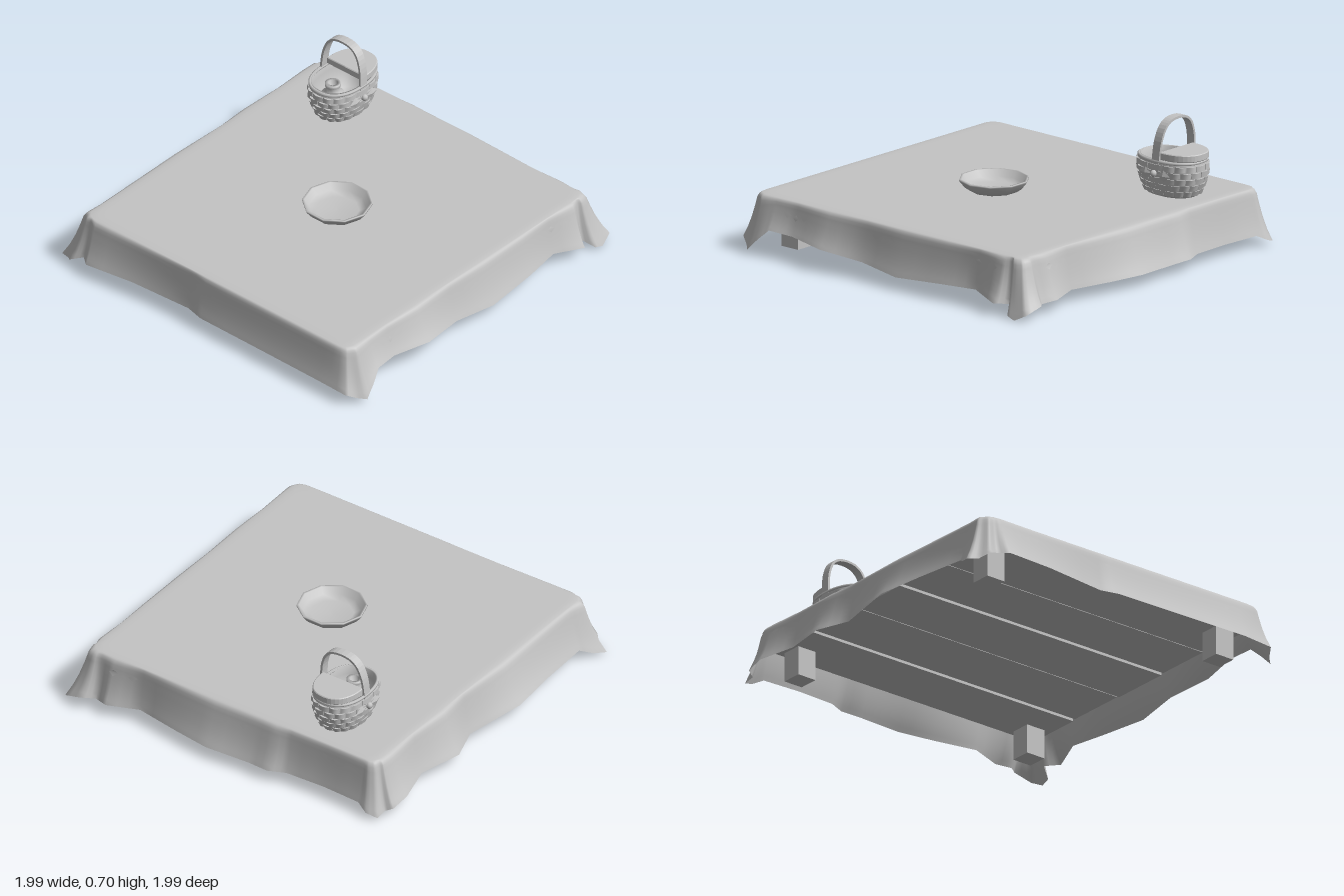
import * as THREE from 'three';
import { mergeGeometries } from 'three/addons/utils/BufferGeometryUtils.js';

const grey = new THREE.MeshStandardMaterial({ color: 0xc4c4c4, side: THREE.DoubleSide });
grey.name = 'plain grey';

function add(parent, name, geometry, x = 0, y = 0, z = 0) {
  const mesh = new THREE.Mesh(geometry, grey);
  mesh.name = name;
  mesh.position.set(x, y, z);
  parent.add(mesh);
  return mesh;
}

function surface(points, indices) {
  const g = new THREE.BufferGeometry().setFromPoints(points);
  g.setIndex(indices);
  g.computeVertexNormals();
  return g;
}

// Hem of the cloth as x, z, y: front, right, back, left
const hem = [
  [-.97, .92, .07], [-.92, .95, .04], [-.88, .99, .03], [-.82, .98, .09], [-.76, .96, .145], [-.62, .94, .135],
  [-.4, .98, .12], [-.15, .94, .095], [.1, .965, .07], [.4, .95, .09], [.6, .92, .095], [.77, .98, .07],
  [.82, .91, .06], [.86, .97, .02], [.91, .975, .005], [.98, .96, .04], [.99, .86, .07],
  [.94, .8, .06], [.97, .72, .07], [.91, .55, .075], [.95, .3, .07], [.98, .1, .07], [.96, -.15, .065],
  [.97, -.27, .07], [.93, -.36, .07], [.92, -.58, .07], [.93, -.8, .07],
  [.95, -.86, .04], [.93, -.92, .02], [.87, -.92, .03], [.85, -.96, .05], [.75, -.97, .07],
  [.55, -.92, .08], [.3, -.97, .07], [.12, -.91, .07], [-.22, -.975, .08], [-.5, -.95, .08], [-.79, -.93, .07],
  [-.86, -.97, .03], [-.93, -1, .01], [-.95, -.94, .02], [-.99, -.9, .05], [-.96, -.83, .08],
  [-1, -.78, .08], [-.97, -.5, .09], [-.94, -.15, .08], [-.965, -.05, .08], [-.97, .4, .08], [-.975, .75, .08]
].map(([x, z, y]) => new THREE.Vector3(x, y, z));
const box = new THREE.Box3(new THREE.Vector3(-.85, 0, -.8), new THREE.Vector3(.81, 1, .82));
const TOP = .3, R = .06;

// Hang of the cloth: outward and downward share of each ring
const hang = [[0, 0], [.16, .03], [.27, .11], [.38, .3], [.55, .55], [.75, .78], [1, 1]];

// Point on the skirt above or on a hem point
function skirtPoint(h, v) {
  const inner = box.clampPoint(h, new THREE.Vector3());
  const edge = h.clone().sub(inner).setY(0).setLength(R).add(inner).setY(TOP);
  const k = Math.min(Math.floor(v * 6), 5), f = v * 6 - k;
  const out = THREE.MathUtils.lerp(hang[k][0], hang[k + 1][0], f);
  const down = THREE.MathUtils.lerp(hang[k][1], hang[k + 1][1], f);
  return new THREE.Vector3(edge.x + (h.x - edge.x) * out, TOP + (h.y - TOP) * down, edge.z + (h.z - edge.z) * out);
}

function hemAt(s) {
  const n = hem.length, i = Math.floor(s);
  return hem[i % n].clone().lerp(hem[(i + 1) % n], s - i);
}

function clothGeometry() {
  const n = hem.length * 3, points = [], index = [];
  for (let j = -2; j <= 12; j++) {
    for (let i = 0; i < n; i++) {
      const p = skirtPoint(hemAt(i / 3), Math.max(j, 0) / 12);
      if (j < 0) p.multiply(new THREE.Vector3(1 + j * .03, 1, 1 + j * .03)).setY(TOP + .002);
      points.push(p);
    }
  }
  for (let j = 0; j < 14; j++) for (let i = 0; i < n; i++) {
    const a = j * n + i, b = j * n + (i + 1) % n, c = a + n, d = b + n;
    index.push(a, c, d, a, d, b);
  }
  const centre = points.push(new THREE.Vector3(0, TOP + .003, 0)) - 1;
  for (let i = 0; i < n; i++) index.push(centre, i, (i + 1) % n);
  return surface(points, index);
}

// Three thin diamonds stitched along the skirt at a place on one side
function motif(axis, side, at) {
  const other = axis === 'x' ? 'z' : 'x', shapes = [];
  const place = (t, y) => {
    // Find the hem crossing on this side, then the height on the skirt
    let h = null;
    for (let i = 0; i < hem.length && !h; i++) {
      const a = hem[i], b = hem[(i + 1) % hem.length];
      if (a[other] * side > .8 && b[other] * side > .8 && (a[axis] - t) * (b[axis] - t) <= 0)
        h = a.clone().lerp(b, (t - a[axis]) / (b[axis] - a[axis] || 1));
    }
    let p = skirtPoint(h, 0);
    for (let v = 0; v <= 1 && p.y > y; v += .01) p = skirtPoint(h, v);
    p[other] += side * .004;
    return p;
  };
  for (const k of [-1, 0, 1]) {
    const c = at + k * .055, w = k ? .026 : .017, y = .225 + Math.abs(k) * .01;
    const q = [[c - w, y + Math.abs(k) * .006], [c, y - .016], [c + w, y], [c, y + .016]].map(p => place(...p));
    const flip = (axis === 'x') === (side > 0);
    shapes.push(surface(q, flip ? [0, 1, 2, 0, 2, 3] : [0, 2, 1, 0, 3, 2]));
  }
  return mergeGeometries(shapes);
}

// Rounded-oval outline of the basket
const oval = (a, r, y) => {
  const c = Math.cos(a), s = Math.sin(a);
  return new THREE.Vector3(Math.sign(c) * Math.abs(c) ** .85 * .19 * r, y, Math.sign(s) * Math.abs(s) ** .85 * .135 * r);
};
const bulge = y => .76 + .24 * Math.sin(Math.min(y / .15, 1) * Math.PI / 2);

function createBasket() {
  const basket = new THREE.Group();
  basket.name = 'basket';
  const n = 40;
  const profile = [[0, 0], [.74, 0], [.86, .035], [.95, .08], [1, .15], [.99, .19], [.92, .195], [.9, .15], [.74, .03], [0, .03]];
  const points = [], index = [];
  profile.forEach(([r, y]) => {
    for (let i = 0; i < n; i++) points.push(oval(-i / n * Math.PI * 2, r, y));
  });
  for (let j = 0; j < profile.length - 1; j++) for (let i = 0; i < n; i++) {
    const a = j * n + i, b = j * n + (i + 1) % n;
    index.push(a, a + n, b + n, a, b + n, b);
  }
  add(basket, 'basketBody', surface(points, index));

  // Staggered woven slats that bulge from the wall
  const slats = [];
  for (let row = 0; row < 5; row++) for (let i = 0; i < 16; i++) {
    const g = new THREE.BoxGeometry(1, 1, 1, 4, 1, 1), p = g.attributes.position;
    for (let k = 0; k < p.count; k++) {
      const u = p.getX(k), y = .022 + row * .034 + p.getY(k) * .028;
      const a = -(i + (row % 2) / 2 + u * .92) / 16 * Math.PI * 2;
      const r = bulge(y) + (p.getZ(k) > 0 ? .012 + .045 * Math.cos(u * Math.PI) : -.03);
      const q = oval(a, r, y);
      p.setXYZ(k, q.x, q.y, q.z);
    }
    g.computeVertexNormals();
    slats.push(g);
  }
  add(basket, 'wovenSlats', mergeGeometries(slats));

  // Rim band
  const rim = new THREE.CatmullRomCurve3(Array.from({ length: 32 }, (_, i) => oval(-i / 32 * Math.PI * 2, .97, .187)), true);
  add(basket, 'rim', new THREE.TubeGeometry(rim, 64, .009, 6, true));

  // Half lid on the left of the basket
  const lid = new THREE.Shape(Array.from({ length: 21 }, (_, i) => {
    const q = oval((i / 20 - .5) * Math.PI, .9, 0);
    return new THREE.Vector2(q.x + .024, q.z);
  }));
  const lidShape = new THREE.ExtrudeGeometry(lid, { depth: .03, bevelEnabled: true, bevelSize: .004, bevelThickness: .004, bevelSegments: 1 });
  add(basket, 'lid', lidShape.rotateX(-Math.PI / 2), 0, .2, 0);

  // Flat arched handle
  const arch = new THREE.CatmullRomCurve3([[-.133, .13], [-.13, .2], [-.12, .29], [-.09, .36], [-.045, .39], [.045, .39],
    [.09, .36], [.12, .29], [.13, .2], [.133, .13]].map(([z, y]) => new THREE.Vector3(0, y, z)));
  const hp = [], hi = [], steps = 32;
  for (let i = 0; i <= steps; i++) {
    const p = arch.getPoint(i / steps), t = arch.getTangent(i / steps);
    for (const [w, d] of [[-1, 1], [1, 1], [1, -1], [-1, -1]])
      hp.push(new THREE.Vector3(w * .024 + (p.y - .13) * .07, p.y + t.z * d * .006, p.z - t.y * d * .006));
    if (i < steps) for (let k = 0; k < 4; k++) {
      const a = i * 4 + k, b = i * 4 + (k + 1) % 4;
      hi.push(a, a + 4, b + 4, a, b + 4, b);
    }
  }
  const handle = surface(hp, hi).toNonIndexed();
  handle.computeVertexNormals();
  add(basket, 'handle', handle);

  // Small bow at each foot of the handle
  for (const s of [-1, 1]) {
    for (const x of [-.06, .06]) {
      const loop = add(basket, 'bowLoop', new THREE.OctahedronGeometry(1), x, .12, s * .138);
      loop.scale.set(.045, .03, .01);
    }
    add(basket, 'bowKnot', new THREE.SphereGeometry(.018, 8, 6), 0, .125, s * .145);
  }

  // Bottle standing in the open half
  const bottle = [[0, .03], [.062, .03], [.066, .04], [.066, .11], [.06, .125], [.036, .14], [.034, .17], [.04, .172], [.04, .188], [.024, .188], [.024, .15], [0, .15]];
  add(basket, 'bottle', new THREE.LatheGeometry(bottle.map(p => new THREE.Vector2(...p)), 16), -.075, 0, 0);
  basket.position.set(.63, .305, -.51);
  return basket;
}

export function createModel() {
  const model = new THREE.Group();
  model.name = 'lowTable';
  add(model, 'tablecloth', clothGeometry());

  // Stitched diamonds, three groups on each side
  for (const axis of ['x', 'z']) for (const side of [-1, 1]) for (const at of [-.62, -.03, .66])
    add(model, 'stitchedDiamonds', motif(axis, side, at));

  // Planks running front to back
  const edges = [-.88, -.53, -.2, .15, .5, .83];
  for (let i = 0; i < 5; i++) {
    const w = edges[i + 1] - edges[i];
    add(model, 'plank', new THREE.BoxGeometry(w - .014, .1, 1.68), edges[i] + w / 2, .225 + (i % 2) * .006, .005);
  }
  add(model, 'plankBacking', new THREE.BoxGeometry(1.68, .04, 1.66), -.025, .265, .005);

  // Legs
  for (const x of [-.765, .735]) for (const z of [-.725, .745])
    add(model, 'leg', new THREE.BoxGeometry(.11, .2, .11), x, .12, z);

  // Ten-sided bowl
  const bowl = [[0, 0], [.12, 0], [.15, .02], [.178, .055], [.178, .063], [.166, .063], [.145, .03], [.11, .012], [0, .01]];
  const bowlGeometry = new THREE.LatheGeometry(bowl.map(p => new THREE.Vector2(...p)), 10);
  add(model, 'bowl', bowlGeometry, -.057, .302, .062);

  model.add(createBasket());
  return model;
}
